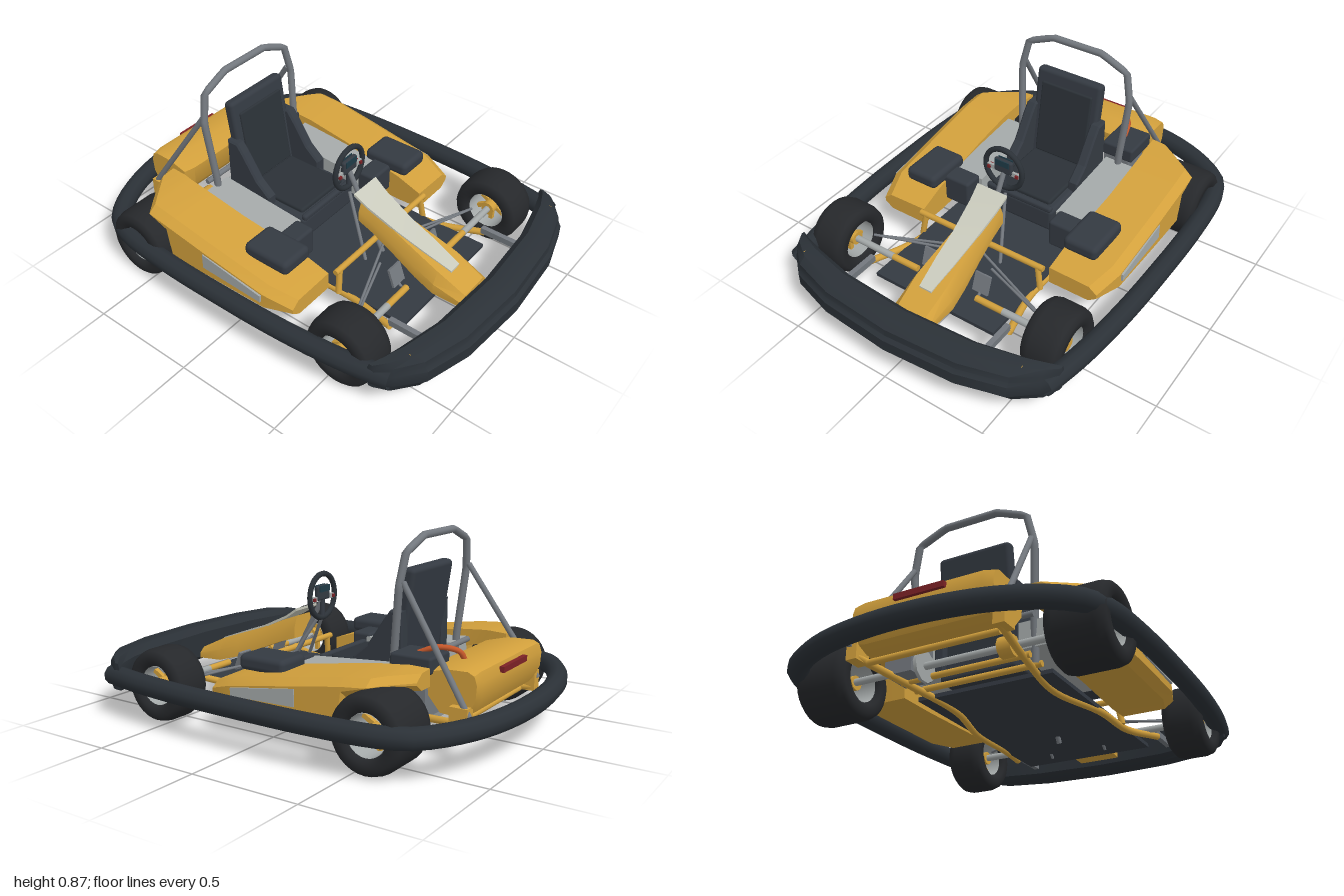
import * as THREE from 'three';
import { toCreasedNormals } from 'three/addons/utils/BufferGeometryUtils.js';
import { RoundedBoxGeometry } from 'three/addons/geometries/RoundedBoxGeometry.js';

const mat = (color) => new THREE.MeshStandardMaterial({ color, side: THREE.DoubleSide });
const V = (p) => new THREE.Vector3(...p);

export function createModel() {
  const kart = new THREE.Group();
  kart.name = 'goKart';
  const yellow = mat(0xd2a03c), dark = mat(0x343a42), tyreMat = mat(0x26282b), bumperMat = mat(0x2b3137);
  const steel = mat(0x73787e), light = mat(0xa4a9a9), white = mat(0xc9cabc), red = mat(0x7c2226);
  const orange = mat(0xc4572a), screenMat = mat(0x1f3b47);

  const add = (name, geo, material, pos = [0, 0, 0], parent = kart) => {
    const m = new THREE.Mesh(geo, material);
    m.name = name;
    m.position.set(...pos);
    parent.add(m);
    return m;
  };
  const box = (name, size, pos, material, r = 0) =>
    add(name, r ? new RoundedBoxGeometry(...size, 2, r) : new THREE.BoxGeometry(...size), material, pos);
  // straight round bar between two points
  const bar = (name, a, b, r, material) => {
    const d = V(b).sub(V(a));
    const m = add(name, new THREE.CylinderGeometry(r, r, d.length(), 10), material);
    m.position.copy(V(a)).addScaledVector(d, 0.5);
    m.quaternion.setFromUnitVectors(new THREE.Vector3(0, 1, 0), d.normalize());
    return m;
  };
  const tube = (name, pts, r, material, segs = 40, tension = 0.5) =>
    add(name, new THREE.TubeGeometry(new THREE.CatmullRomCurve3(pts.map(V), false, 'catmullrom', tension), segs, r, 10), material);
  // closed solid through matching rings of points
  const loft = (name, rings, material, crease = 0.6) => {
    const n = rings[0].length, pos = rings.flat(2), idx = [];
    for (let i = 0; i < rings.length - 1; i++)
      for (let j = 0; j < n; j++) {
        const a = i * n + j, b = i * n + (j + 1) % n;
        idx.push(a, b, a + n, b, b + n, a + n);
      }
    const e = (rings.length - 1) * n;
    for (let j = 1; j < n - 1; j++) idx.push(0, j + 1, j, e, e + j, e + j + 1);
    let vol = 0;
    const p = (i) => V(pos.slice(i * 3, i * 3 + 3));
    for (let i = 0; i < idx.length; i += 3) vol += p(idx[i]).dot(p(idx[i + 1]).cross(p(idx[i + 2])));
    if (vol < 0) idx.reverse();
    const g = new THREE.BufferGeometry();
    g.setAttribute('position', new THREE.Float32BufferAttribute(pos, 3));
    g.setIndex(idx);
    return add(name, toCreasedNormals(g, crease), material);
  };

  // Wheels: lathed tyre with an open rim and spokes
  const wheel = (name, x, z, w) => {
    const g = new THREE.Group();
    g.name = name;
    g.position.set(x, 0.165, z);
    kart.add(g);
    const h = w / 2;
    const prof = [[0.09, -h + 0.02], [0.105, -h], [0.14, -h], [0.157, -h + 0.015], [0.165, -h + 0.045],
      [0.165, h - 0.045], [0.157, h - 0.015], [0.14, h], [0.105, h], [0.09, h - 0.02], [0.09, -h + 0.02]];
    const lathe = new THREE.LatheGeometry(prof.map((p) => new THREE.Vector2(...p)), 32).rotateZ(Math.PI / 2);
    add('tyre', lathe, tyreMat, [0, 0, 0], g);
    add('rim', new THREE.CylinderGeometry(0.088, 0.088, w - 0.04, 24, 1, true).rotateZ(Math.PI / 2), light, [0, 0, 0], g);
    add('hub', new THREE.CylinderGeometry(0.032, 0.032, w * 0.6, 14).rotateZ(Math.PI / 2), yellow, [0, 0, 0], g);
    for (let i = 0; i < 3; i++)
      add('spoke', new THREE.BoxGeometry(0.02, 0.176, 0.02).rotateX(i * Math.PI / 3), yellow, [0, 0, 0], g);
  };

  for (const s of [-1, 1]) {
    wheel('frontWheel', s * 0.573, 0.55, 0.18);
    wheel('rearWheel', s * 0.575, -0.565, 0.25);

    // Side pod, cut away above the rear wheel: [z, inner x, outer x, bottom, top]
    const pod = [[0.27, 0.35, 0.59, 0.14, 0.225], [0.14, 0.355, 0.63, 0.13, 0.265], [-0.2, 0.37, 0.635, 0.13, 0.32],
      [-0.4, 0.37, 0.635, 0.13, 0.352], [-0.42, 0.37, 0.635, 0.27, 0.355], [-0.53, 0.365, 0.63, 0.3, 0.365],
      [-0.57, 0.36, 0.575, 0.3, 0.368], [-0.655, 0.355, 0.46, 0.29, 0.365]];
    loft('sidePod', pod.map(([z, a, b, y0, y1]) => [[a, y0], [b - 0.04, y0], [b, y0 + 0.03], [b, y1 - 0.035],
      [b - 0.04, y1 - 0.005], [a, y1]].map(([x, y]) => [s * x, y, z])), yellow, 0.5);
    loft('podSideStrip', [[0.13, 0.19, 0.225], [-0.2, 0.2, 0.275]].map(([z, a, b]) =>
      [[0.62, a, z], [0.64, a, z], [0.64, b, z], [0.62, b, z]].map(([x, y, zz]) => [s * x, y, zz])), light);
    box('podPad', [0.17, 0.07, 0.24], [s * 0.44, 0.305, 0.06], dark, 0.025);

    // Plates and boxes beside the seat
    loft('seatSidePlate', [[0, 0.29], [-0.45, 0.325]].map(([z, y]) =>
      [[0.21, y - 0.12, z], [0.375, y - 0.12, z], [0.375, y, z], [0.21, y, z]].map(([x, yy, zz]) => [s * x, yy, zz])), light);
    box('sideBox', [0.15, 0.14, 0.1], [s * 0.3, 0.235, 0.04], dark, 0.015);

    // Frame rails, steering and front axle
    tube('frameRail', [[s * 0.38, 0.15, 0.62], [s * 0.32, 0.12, 0.38], [s * 0.31, 0.115, 0.1], [s * 0.24, 0.115, -0.2],
      [s * 0.27, 0.13, -0.5], [s * 0.32, 0.15, -0.8]], 0.016, yellow);
    bar('dashPost', [s * 0.33, 0.12, 0.31], [s * 0.31, 0.235, 0.3], 0.014, yellow);
    bar('frontAxleSleeve', [s * 0.16, 0.165, 0.55], [s * 0.31, 0.165, 0.55], 0.015, yellow);
    bar('stubAxle', [s * 0.3, 0.165, 0.55], [s * 0.55, 0.165, 0.55], 0.016, light);
    bar('tieRod', [s * 0.03, 0.2, 0.33], [s * 0.46, 0.17, 0.49], 0.006, steel);
    bar('tieRodUpper', [s * 0.12, 0.18, 0.38], [s * 0.46, 0.18, 0.5], 0.006, steel);
    box('bumperBracket', [0.025, 0.03, 0.24], [s * 0.37, 0.17, 0.73], steel);
    const pedal = box('pedal', [0.08, 0.09, 0.012], [s * 0.14, 0.185, 0.48], steel);
    pedal.rotation.x = -0.35;
    bar('pedalArm', [s * 0.14, 0.1, 0.54], [s * 0.14, 0.16, 0.48], 0.007, steel);

    // Roll bar braces, seat bolsters
    bar('rollBarBrace', [s * 0.29, 0.68, -0.49], [s * 0.34, 0.19, -0.82], 0.013, steel);
    box('braceFoot', [0.05, 0.09, 0.08], [s * 0.33, 0.18, -0.78], yellow);
    const wing = new THREE.Shape([[0.2, 0.2], [0.2, 0.31], [0.27, 0.37], [0.35, 0.49], [0.38, 0.53], [0.43, 0.53], [0.43, 0.2]]
      .map((p) => new THREE.Vector2(...p)));
    const wingGeo = new THREE.ExtrudeGeometry(wing, { depth: 0.035, bevelSize: 0.008, bevelThickness: 0.008, bevelSegments: 1 });
    add('seatBolster', wingGeo.rotateY(Math.PI / 2), dark, [s * 0.178 - 0.018, 0, 0]);
    box('headlampStripe', [0.15, 0.006, 0.012], [0.017 + s * 0.5, 0.275, 0.84], yellow).rotation.y = s * 0.13;
  }

  // Floor pan and cross members
  box('floorPan', [0.64, 0.018, 1.02], [0, 0.125, 0.14], dark);
  bar('dashCrossbar', [-0.34, 0.235, 0.3], [0.34, 0.235, 0.3], 0.014, yellow);
  bar('rearAxle', [-0.55, 0.165, -0.57], [0.55, 0.165, -0.57], 0.016, light);
  for (const z of [-0.42, -0.52, -0.75]) bar('frameCrossbar', [-0.3, 0.14, z], [0.3, 0.14, z], 0.014, yellow);
  bar('seatCrossbar', [-0.3, 0.33, -0.49], [0.3, 0.33, -0.49], 0.013, steel);
  bar('axleCarrier', [-0.2, 0.165, -0.57], [-0.26, 0.165, -0.57], 0.045, yellow);
  bar('sprocket', [0.15, 0.165, -0.57], [0.165, 0.165, -0.57], 0.07, light);

  // Perimeter bumper around sides and rear
  const half = [[0.65, 0.8], [0.69, 0.58], [0.715, 0.3], [0.723, 0], [0.72, -0.35], [0.69, -0.64], [0.6, -0.79], [0.35, -0.91]];
  const loop = [...half, [0, -0.952], ...half.slice().reverse().map(([x, z]) => [-x, z])];
  tube('perimeterBumper', loop.map(([x, z]) => [x + 0.017, 0.185, z]), 0.046, bumperMat, 72);

  // Front bumper: [x, rear z, front z, height scale]
  const fb = [[0, 0.83, 0.99, 1], [0.34, 0.81, 0.965, 1], [0.55, 0.765, 0.905, 1], [0.65, 0.735, 0.82, 0.9], [0.69, 0.715, 0.75, 0.7]];
  const fbAll = [...fb.slice(1).reverse().map(([x, ...r]) => [-x, ...r]), ...fb];
  const fbProf = [[0, 0.13], [0, 0.25], [0.2, 0.28], [0.65, 0.28], [0.88, 0.255], [0.9, 0.225], [1, 0.21], [1, 0.155],
    [0.9, 0.14], [0.75, 0.108], [0.2, 0.106]];
  loft('frontBumper', fbAll.map(([x, z0, z1, k]) => fbProf.map(([t, y]) =>
    [x + 0.017, 0.19 + (y - 0.19) * k, z0 + (z1 - z0) * t])), bumperMat, 0.7);

  // Nose cone with a pale top plate: [z, half width, bottom, top]
  const nose = [[0.22, 0.07, 0.31, 0.415], [0.3, 0.075, 0.285, 0.385], [0.42, 0.085, 0.235, 0.335], [0.55, 0.1, 0.18, 0.29],
    [0.65, 0.11, 0.15, 0.255], [0.79, 0.1, 0.14, 0.19]];
  loft('noseCone', nose.map(([z, w, a, b]) => [[-w, a], [w, a], [w, (a + b) / 2], [w * 0.72, b], [-w * 0.72, b], [-w, (a + b) / 2]]
    .map(([x, y]) => [x, y, z])), yellow);
  loft('nosePlate', [[0.2, 0.08, 0.457], [0.27, 0.072, 0.412], [0.42, 0.057, 0.342], [0.55, 0.048, 0.297], [0.69, 0.032, 0.245]]
    .map(([z, w, y]) => [[-w, y, z], [w, y, z], [w, y - 0.012, z], [-w, y - 0.012, z]]), white);

  // Steering wheel and column
  const rim = add('steeringWheelRim', new THREE.TorusGeometry(0.102, 0.013, 10, 36), bumperMat, [0, 0.515, 0.11]);
  rim.scale.x = 0.96;
  box('steeringHub', [0.095, 0.07, 0.024], [0, 0.53, 0.11], dark, 0.01);
  for (const z of [0.096, 0.124]) box('display', [0.075, 0.03, 0.004], [0, 0.55, z], screenMat);
  for (const s of [-1, 1]) {
    box('wheelSpoke', [0.07, 0.022, 0.012], [s * 0.07, 0.505, 0.11], light);
    box('wheelButton', [0.014, 0.014, 0.03], [s * 0.075, 0.505, 0.11], red);
    bar('columnStay', [s * 0.02, 0.4, 0.13], [s * 0.1, 0.12, 0.29], 0.008, steel);
  }
  bar('lowerSpoke', [0, 0.515, 0.11], [0, 0.41, 0.11], 0.012, dark);
  bar('steeringColumn', [0, 0.5, 0.11], [0, 0.09, 0.33], 0.012, steel);

  // Seat
  box('seatBase', [0.37, 0.12, 0.42], [0, 0.21, -0.21], dark, 0.02);
  box('seatCushion', [0.3, 0.03, 0.32], [0, 0.275, -0.2], bumperMat, 0.012);
  box('seatFrontRoll', [0.36, 0.03, 0.03], [0, 0.275, -0.01], dark, 0.012);
  const back = box('seatBack', [0.35, 0.49, 0.055], [0, 0.475, -0.413], dark, 0.02);
  const panel = box('seatBackPanel', [0.275, 0.37, 0.02], [0, 0.475, -0.386], bumperMat, 0.008);
  back.rotation.x = panel.rotation.x = -0.15;

  // Roll bar
  const hoop = [[0.275, 0.14, -0.43], [0.28, 0.36, -0.445], [0.298, 0.66, -0.475], [0.268, 0.797, -0.488], [0.13, 0.853, -0.492]];
  const path = new THREE.CurvePath();
  const pts = [...hoop, ...hoop.slice().reverse().map(([x, y, z]) => [-x, y, z])].map(V);
  for (let i = 1; i < pts.length; i++) path.add(new THREE.LineCurve3(pts[i - 1], pts[i]));
  add('rollBar', new THREE.TubeGeometry(path, 60, 0.017, 10), steel);

  // Rear body with rounded tail and lamp
  const tail = [[-0.61, 0.24], [-0.6, 0.345], [-0.7, 0.372], [-0.8, 0.375], [-0.832, 0.36], [-0.845, 0.32], [-0.84, 0.25],
    [-0.81, 0.19], [-0.75, 0.165], [-0.67, 0.17]];
  loft('rearBody', [[-0.32, 0.1], [-0.27, 0], [0.27, 0], [0.32, 0.1]].map(([x, k]) => tail.map(([z, y]) =>
    [x, y + (0.27 - y) * k, z + (-0.8 - z) * k])), yellow, 0.7);
  box('tailLamp', [0.23, 0.025, 0.02], [0, 0.335, -0.85], red);

  // Engine box and hose
  box('engineBox', [0.165, 0.07, 0.19], [0.26, 0.365, -0.555], dark, 0.012);
  box('engineBlock', [0.13, 0.2, 0.15], [0.255, 0.24, -0.54], steel);
  tube('hose', [[0.16, 0.36, -0.71], [0.185, 0.405, -0.69], [0.23, 0.42, -0.62], [0.25, 0.39, -0.54]], 0.012, orange, 20);

  kart.position.x = -0.017;
  const root = new THREE.Group();
  root.name = 'model';
  root.add(kart);
  return root;
}
